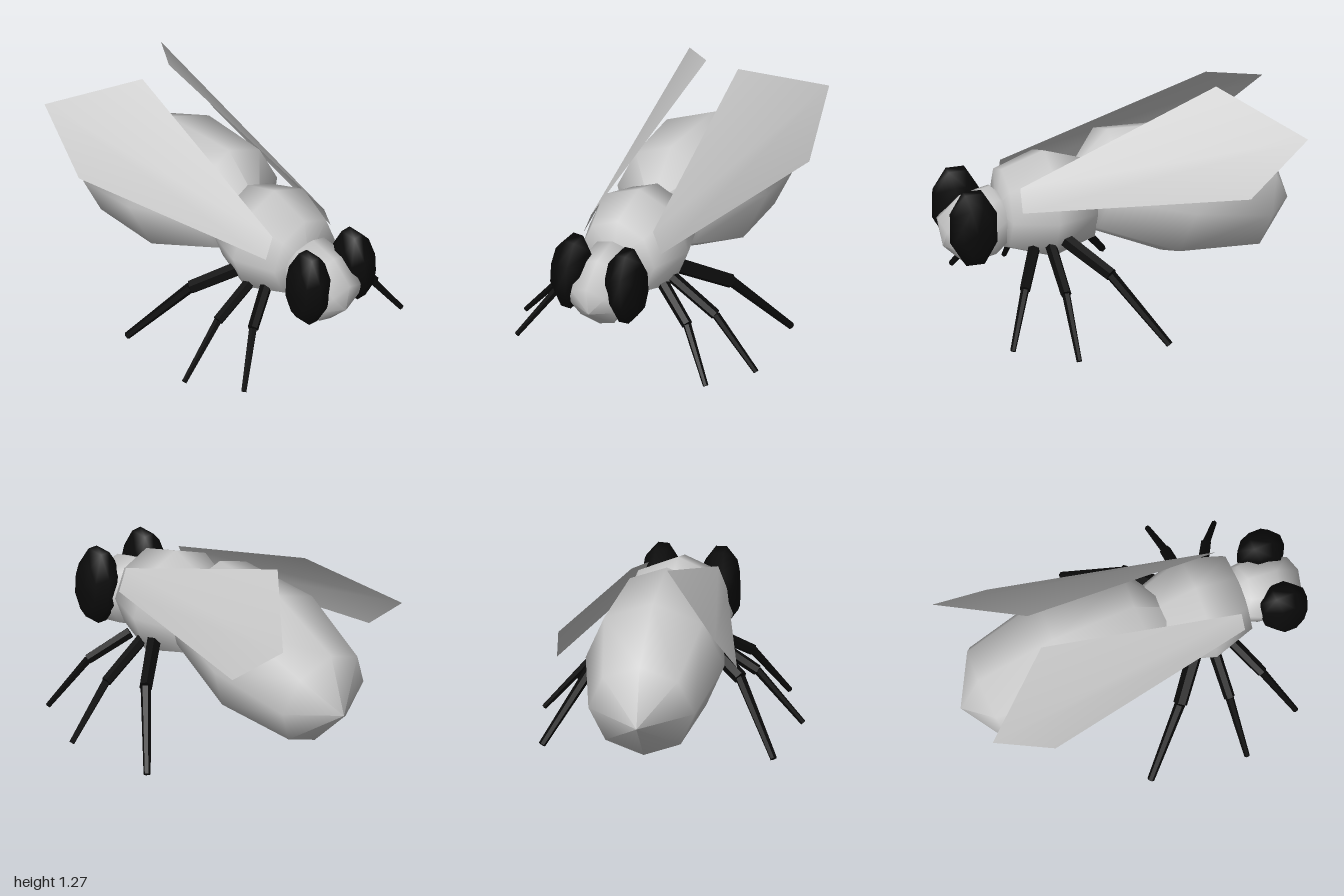
import * as THREE from 'three';

const grey = new THREE.MeshStandardMaterial({ color: 0xcccccc });
const wingGrey = new THREE.MeshStandardMaterial({ color: 0xcccccc, side: THREE.DoubleSide });
const black = new THREE.MeshStandardMaterial({ color: 0x0a0a0a });
const blackFacet = new THREE.MeshStandardMaterial({ color: 0x0a0a0a, flatShading: true });
const MID = -0.025; // centre line of body and wings

function part(name, geometry, material, parent) {
  const mesh = new THREE.Mesh(geometry, material);
  mesh.name = name;
  parent.add(mesh);
  return mesh;
}

// Eight-sided body segment; profile is [radius, distance along axis], back to front
function segment(name, profile, y, z, tilt, scaleX, parent) {
  const g = new THREE.LatheGeometry(profile.map(p => new THREE.Vector2(...p)), 8);
  g.rotateX(Math.PI / 2);
  g.rotateX(tilt);
  g.scale(scaleX, 1, 1);
  part(name, g, grey, parent).position.set(MID, y, z);
}

// Tapered six-sided rod between two points
function rod(name, a, b, ra, rb, parent) {
  const dir = b.clone().sub(a);
  const mesh = part(name, new THREE.CylinderGeometry(rb, ra, dir.length(), 6), blackFacet, parent);
  mesh.position.copy(a).add(b).multiplyScalar(0.5);
  mesh.quaternion.setFromUnitVectors(new THREE.Vector3(0, 1, 0), dir.normalize());
}

// Thin five-cornered wing
function wingGeometry(side) {
  const corners = [
    [0.195, 0.855, 0.61], [0.1, 1.28, -0.55], [0.44, 1.05, -0.98],
    [0.505, 0.76, -0.63], [0.245, 0.725, 0.61],
  ];
  const g = new THREE.BufferGeometry();
  const flat = corners.flatMap(([x, y, z]) => [MID + side * x, y, z]);
  g.setAttribute('position', new THREE.Float32BufferAttribute(flat, 3));
  // wind each side so the outer, upper face is the front
  g.setIndex(side > 0 ? [0, 2, 1, 0, 4, 2, 4, 3, 2] : [0, 1, 2, 0, 2, 4, 4, 2, 3]);
  g.computeVertexNormals();
  return g;
}

// Eight-sided barrel lying along x, flattened into a tall oval
function eyeGeometry() {
  const profile = [[0, -0.095], [0.65, -0.09], [1, -0.03], [1, 0.03], [0.65, 0.09], [0, 0.095]];
  const g = new THREE.LatheGeometry(profile.map(p => new THREE.Vector2(...p)), 8, Math.PI / 8);
  g.rotateZ(-Math.PI / 2);
  g.scale(1, 0.227, 0.138);
  return g;
}

export function createModel() {
  const model = new THREE.Group();
  model.name = 'fly';

  // Body
  segment('abdomen', [[0, -0.66], [0.298, -0.48], [0.39, 0], [0.298, 0.48], [0, 0.66]],
    0.655, -0.35, -0.235, 1, model);
  segment('thorax', [[0, -0.28], [0.235, -0.245], [0.318, 0], [0.235, 0.245], [0, 0.28]],
    0.657, 0.415, 0, 0.98, model);
  segment('head', [[0, -0.225], [0.165, -0.17], [0.21, 0], [0.165, 0.17], [0, 0.225]],
    0.575, 0.8, 0.49, 0.9, model);

  // Legs: hip, knee, foot for the +x side, and knee radius
  const legs = [
    ['front', [0.2, 0.49, 0.54], [0.41, 0.35, 0.655], [0.595, 0.075, 0.78], 0.031],
    ['middle', [0.2, 0.49, 0.44], [0.47, 0.32, 0.435], [0.725, 0.025, 0.435], 0.031],
    ['back', [0.18, 0.52, 0.36], [0.42, 0.38, 0.16], [0.65, 0.02, -0.11], 0.04],
  ];

  for (const side of [1, -1]) {
    const label = side > 0 ? 'left' : 'right';
    part(label + 'Wing', wingGeometry(side), wingGrey, model);

    const eye = part(label + 'Eye', eyeGeometry(), black, model);
    eye.position.set(MID + side * 0.172, 0.64, 0.873);
    eye.rotation.z = side * 0.05;

    for (const [row, hip, knee, foot, r] of legs) {
      const leg = new THREE.Group();
      leg.name = `${label} ${row} leg`;
      const [a, b, c] = [hip, knee, foot].map(([x, y, z]) => new THREE.Vector3(side * x, y, z));
      rod('upperLeg', a, b, r * 1.1, r, leg);
      rod('lowerLeg', b, c, r * 0.75, r * 0.5, leg);
      model.add(leg);
    }
  }
  return model;
}
